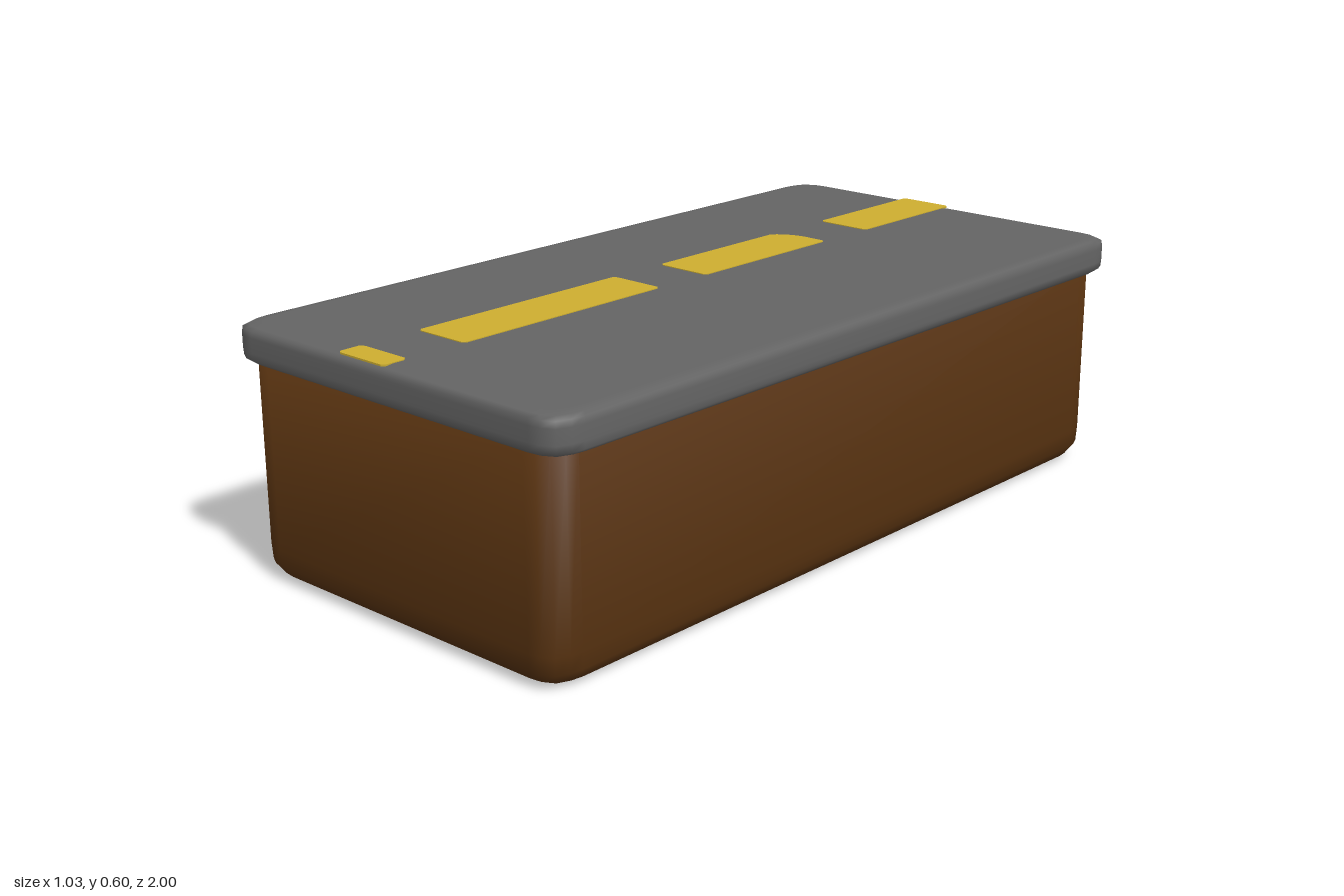
import * as THREE from 'three';

// One softened corner, as insets [x, z] from the sharp corner, from side to end
const CORNER = [[0, 0.08], [0.004, 0.05], [0.017, 0.019], [0.045, 0.004], [0.075, 0]];

// Outline of a rectangle with softened corners, running from +x towards +z
function outline(hx, hz) {
  const pts = [];
  [[1, 1], [-1, 1], [-1, -1], [1, -1]].forEach(([sx, sz], k) => {
    const corner = k % 2 ? [...CORNER].reverse() : CORNER;
    corner.forEach(([dx, dz]) => pts.push([sx * (hx - dx), sz * (hz - dz)]));
  });
  return pts;
}

// Smooth closed block lofted through [height, inset] levels from bottom to top
function softBlock(hx, hz, levels) {
  const pos = [], index = [];
  const n = CORNER.length * 4;
  levels.forEach(([y, inset]) => {
    outline(hx - inset, hz - inset).forEach(([x, z]) => pos.push(x, y, z));
  });
  const bottom = levels.length * n, top = bottom + 1;
  pos.push(0, levels[0][0], 0, 0, levels[levels.length - 1][0], 0);
  for (let i = 0; i < n; i++) {
    const j = (i + 1) % n;
    for (let l = 0; l < levels.length - 1; l++) {
      const a = l * n + i, b = l * n + j;
      index.push(a, a + n, b, b, a + n, b + n);
    }
    const last = (levels.length - 1) * n;
    index.push(bottom, i, j, top, last + j, last + i);
  }
  const g = new THREE.BufferGeometry();
  g.setAttribute('position', new THREE.Float32BufferAttribute(pos, 3));
  g.setIndex(index);
  g.computeVertexNormals();
  return g;
}

// Thin painted plate; cut is the size of its back left corner
function dashPlate(z0, z1, cut) {
  const x0 = -0.148, x1 = 0, r = 0.008;
  const s = new THREE.Shape();
  // shape y is -z, so that the plate faces up once laid flat
  s.moveTo(x0 + r, -z1);
  s.lineTo(x1 - r, -z1);
  s.lineTo(x1, -z1 + r);
  s.lineTo(x1, -z0 - r);
  s.lineTo(x1 - r, -z0);
  s.lineTo(x0 + cut * 1.7, -z0);
  s.quadraticCurveTo(x0 + cut * 0.3, -z0 - cut * 0.2, x0, -z0 - cut);
  s.lineTo(x0, -z1 + r);
  s.closePath();
  const g = new THREE.ExtrudeGeometry(s, { depth: 0.004, bevelEnabled: false, curveSegments: 4 });
  g.rotateX(-Math.PI / 2);
  return g;
}

export function createModel() {
  const group = new THREE.Group();
  group.name = 'roadSegment';
  const mat = (name, color) => {
    const m = new THREE.MeshStandardMaterial({ color });
    m.name = name;
    return m;
  };
  const soil = mat('soilBrown', 0x54300f);
  const asphalt = mat('asphaltGrey', 0x646464);
  const paint = mat('paintYellow', 0xcdae30);

  const add = (name, geometry, material, y = 0) => {
    const m = new THREE.Mesh(geometry, material);
    m.name = name;
    m.position.y = y;
    group.add(m);
  };

  // Earth base
  add('soilBase', softBlock(0.482, 0.985, [
    [0, 0.09], [0.004, 0.05], [0.014, 0.018], [0.04, 0.002], [0.08, 0], [0.53, 0],
  ]), soil);

  // Overhanging road slab
  add('roadSlab', softBlock(0.515, 1, [
    [0.511, 0.03], [0.513, 0.013], [0.523, 0.001], [0.54, 0],
    [0.575, 0], [0.59, 0.002], [0.597, 0.012], [0.6, 0.035],
  ]), asphalt);

  // Dashed lane line
  [[-0.998, -0.625, 0.008], [-0.457, 0, 0.045], [0.16, 0.77, 0.008], [0.925, 0.99, 0.008]]
    .forEach(([z0, z1, cut], i) => add(`laneDash${i + 1}`, dashPlate(z0, z1, cut), paint, 0.598));

  return group;
}
